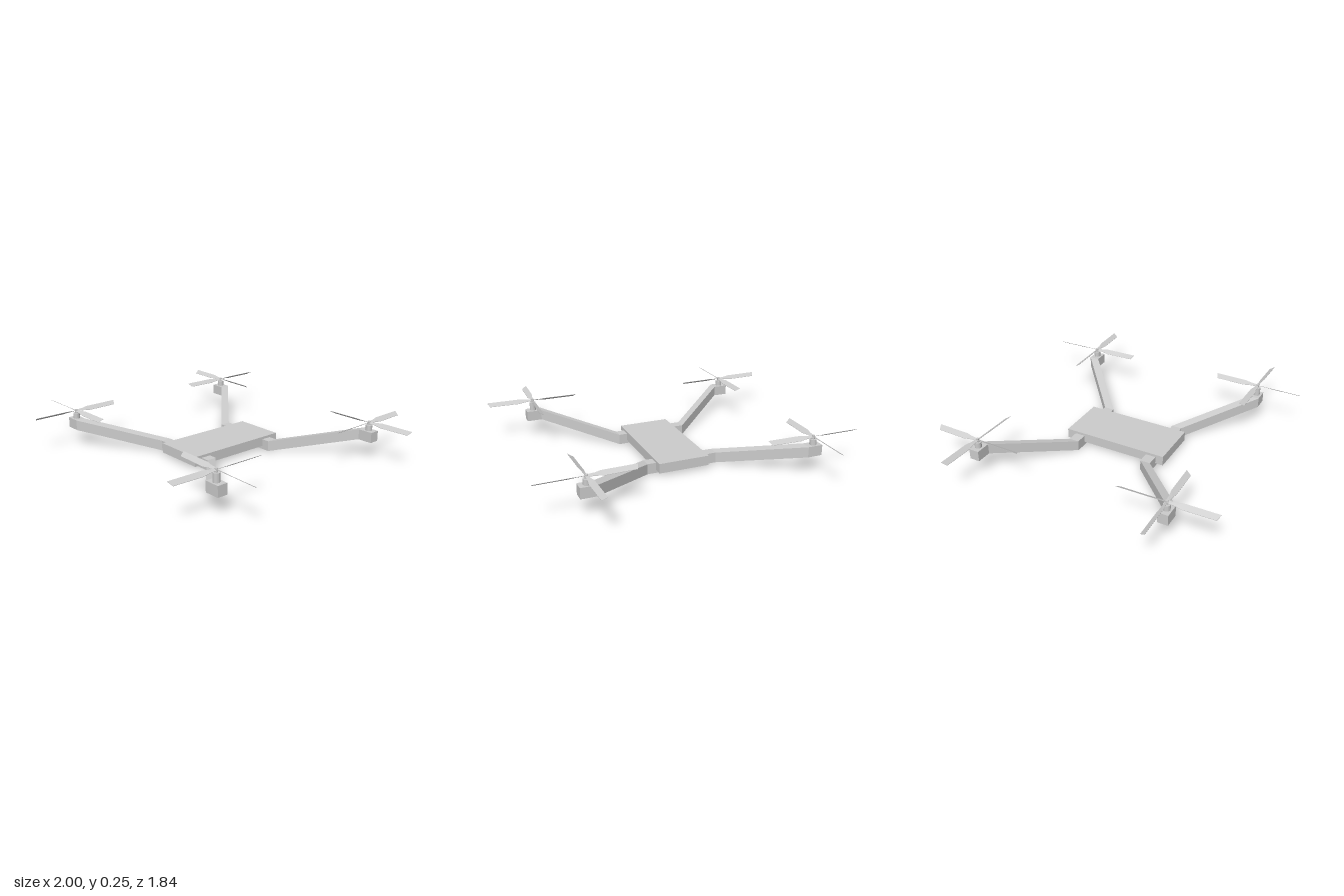
import * as THREE from 'three';

const material = new THREE.MeshStandardMaterial({ color: 0xcccccc, flatShading: true });

function part(name, geometry, x = 0, y = 0, z = 0) {
  const mesh = new THREE.Mesh(geometry, material);
  mesh.name = name;
  mesh.position.set(x, y, z);
  return mesh;
}

// Joins four-cornered cross-sections, ordered along +x, into a closed solid
function loft(sections) {
  const index = [];
  const last = (sections.length - 1) * 4;
  for (let s = 0; s < last; s += 4) {
    for (let i = 0; i < 4; i++) {
      const a = s + i, b = s + (i + 1) % 4;
      index.push(a, a + 4, b + 4, a, b + 4, b);
    }
  }
  index.push(0, 1, 2, 0, 2, 3);
  index.push(last, last + 3, last + 2, last, last + 2, last + 1);
  const geometry = new THREE.BufferGeometry();
  geometry.setAttribute('position', new THREE.Float32BufferAttribute(sections.flat(2), 3));
  geometry.setIndex(index);
  const flat = geometry.toNonIndexed();
  flat.computeVertexNormals();
  return flat;
}

// Crossbar under the body whose two ends sweep outwards and upwards
function armPair(side) {
  const half = 0.0325;
  const bends = [[0.227, 0.254, 0], [0.655, 0.623, 0.11], [0.75, 0.623, 0.11]];
  const path = [...bends.map(([x, z, y]) => [-x, z, y]).reverse(), ...bends];
  return loft(path.map(([x, z, y]) => {
    const back = side * z - half, front = side * z + half;
    return [[x, y, back], [x, y, front], [x, y + 0.066, front], [x, y + 0.066, back]];
  }));
}

// Thin pitched blade along +x; spin picks the direction of the pitch
function blade(spin) {
  const t = 0.0012;
  // Each station: low edge [x, y, z], then high edge [x, y, z]
  const stations = [
    [[0.004, -0.003, -0.008], [0.004, 0.003, 0.008]],
    [[0.05, -0.005, -0.009], [0.05, 0.005, 0.010]],
    [[0.095, -0.010, -0.014], [0.085, 0.009, 0.017]],
    [[0.284, -0.009, -0.010], [0.297, 0.009, 0.021]],
  ];
  return loft(stations.map((edges) => {
    const [a, b] = edges.map(([x, y, z]) => [x, y, z * spin]).sort((p, q) => p[2] - q[2]);
    return [[a[0], a[1] - t, a[2]], [b[0], b[1] - t, b[2]],
      [b[0], b[1] + t, b[2]], [a[0], a[1] + t, a[2]]];
  }));
}

// Motor, spindle and four blades
function rotor(spin, lift) {
  const group = new THREE.Group();
  const motorHeight = 0.036 + lift;
  group.add(part('motor', new THREE.CylinderGeometry(0.021, 0.021, motorHeight, 16), 0, motorHeight / 2, 0));
  group.add(part('spindle', new THREE.CylinderGeometry(0.009, 0.009, 0.026, 12), 0, motorHeight + 0.011, 0));
  const bladeShape = blade(spin);
  for (let i = 0; i < 4; i++) {
    const mesh = part('propellerBlade', bladeShape, 0, motorHeight + 0.015, 0);
    mesh.rotation.y = i * Math.PI / 2;
    group.add(mesh);
  }
  return group;
}

export function createModel() {
  const model = new THREE.Group();
  model.name = 'quadcopter';

  // Flat body plate
  model.add(part('body', new THREE.BoxGeometry(0.325, 0.062, 0.682), 0.011, 0.051, -0.004));

  for (const side of [-1, 1]) {
    model.add(part(side > 0 ? 'frontArms' : 'backArms', armPair(side)));

    // Diagonal rotors share a spin; the front left one sits slightly higher
    for (const x of [-1, 1]) {
      const unit = rotor(x * side, x > 0 && side > 0 ? 0.018 : 0);
      unit.name = (side > 0 ? 'front' : 'back') + (x > 0 ? 'Left' : 'Right') + 'Rotor';
      unit.position.set(x * 0.703, 0.175, side * 0.624);
      model.add(unit);
    }
  }
  return model;
}
